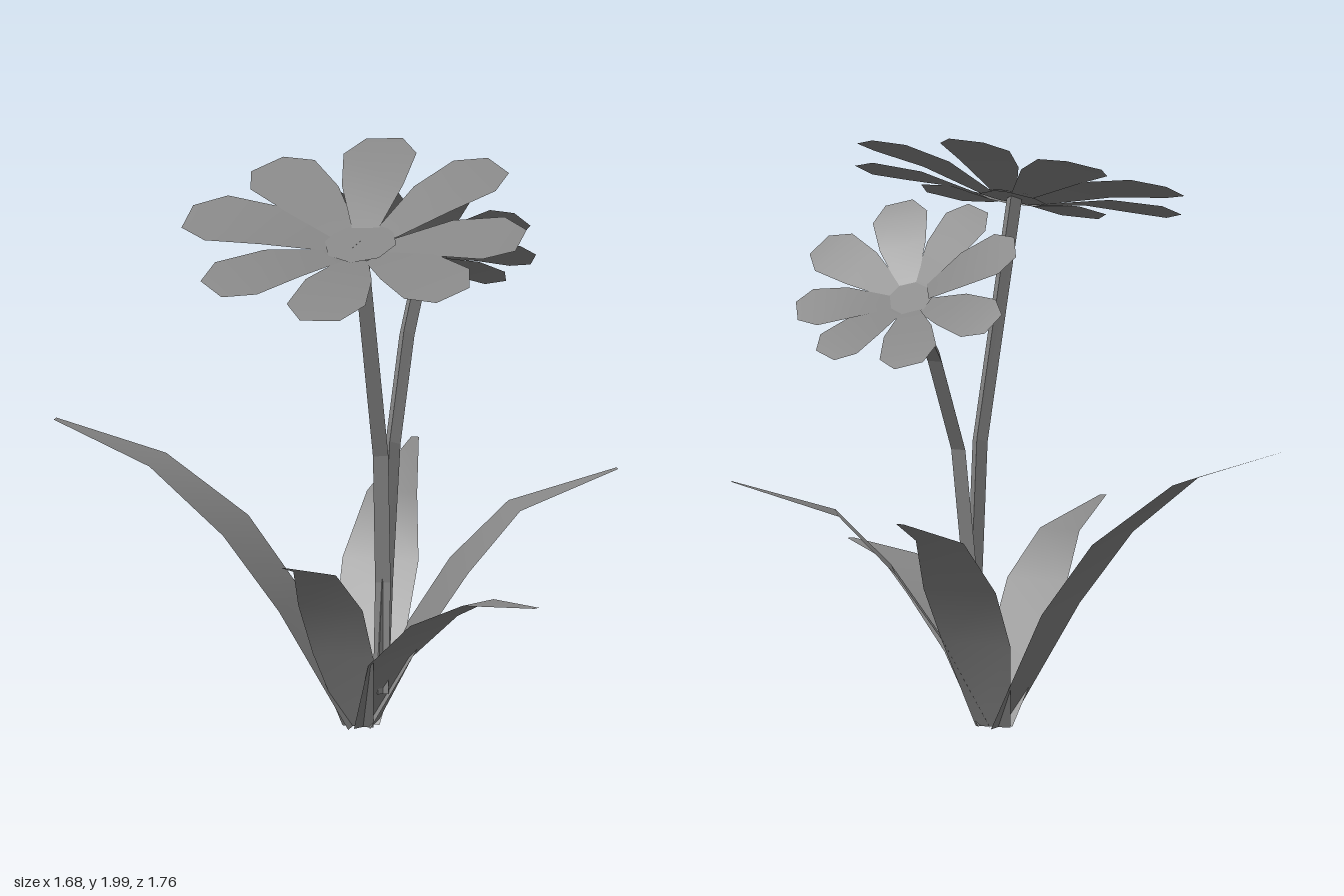
import * as THREE from 'three';

const mat = new THREE.MeshStandardMaterial({ color: 0x868686, side: THREE.DoubleSide });
const V = (x, y, z) => new THREE.Vector3(x, y, z);

function addMesh(parent, name, geometry) {
  const mesh = new THREE.Mesh(geometry, mat);
  mesh.name = name;
  parent.add(mesh);
}

function indexedGeometry(pos, idx) {
  const g = new THREE.BufferGeometry();
  g.setAttribute('position', new THREE.Float32BufferAttribute(pos, 3));
  g.setIndex(idx);
  return g;
}

// Thin ribbon through cross-sections: centre points, half widths, sideways direction
function ribbon(centres, halfWidths, side) {
  const pos = [], idx = [];
  centres.forEach((c, i) => {
    for (const s of [-1, 1]) pos.push(...c.clone().addScaledVector(side, s * halfWidths[i]));
    if (i > 0) {
      const a = 2 * i - 2;
      idx.push(a, a + 2, a + 1, a + 1, a + 2, a + 3);
    }
  });
  const g = indexedGeometry(pos, idx);
  g.computeVertexNormals();
  return g;
}

// Arching leaf: heading of its tip, profile of [distance, height], largest half width
function leaf(dx, dz, profile, half) {
  const out = V(dx, 0, dz).normalize();
  const side = V(-out.z, 0, out.x);
  const centres = profile.map(([r, y]) => V(-0.015, y, 0.04).addScaledVector(out, r));
  return ribbon(centres, [0.48, 0.94, 1, 0.66, 0.1].map(w => w * half), side);
}

// Three-sided stem bending through its points; turn rotates the section
function stem(points, radius, turn) {
  const pos = [], idx = [], n = 3;
  points.forEach((p, i) => {
    const dir = points[Math.min(i + 1, points.length - 1)].clone()
      .sub(points[Math.max(i - 1, 0)]).normalize();
    const q = new THREE.Quaternion().setFromUnitVectors(V(0, 1, 0), dir);
    for (let k = 0; k < n; k++) {
      const a = turn + k / n * Math.PI * 2;
      pos.push(...V(Math.cos(a), 0, Math.sin(a)).multiplyScalar(radius).applyQuaternion(q).add(p));
      if (i > 0) {
        const b = (i - 1) * n, m = (k + 1) % n;
        idx.push(b + k, b + n + k, b + m, b + m, b + n + k, b + n + m);
      }
    }
  });
  const g = indexedGeometry(pos, idx).toNonIndexed();
  g.computeVertexNormals();
  return g;
}

// Flower head: a flat disc and one petal reaching to each tip
function flowerHead(name, centre, normal, discRadius, petalWidth, tips) {
  const head = new THREE.Group();
  head.name = name;
  normal.normalize();

  const disc = new THREE.CircleGeometry(discRadius, 8);
  disc.applyQuaternion(new THREE.Quaternion().setFromUnitVectors(V(0, 0, 1), normal));
  disc.translate(centre.x, centre.y, centre.z);
  addMesh(head, 'flowerCentre', disc);

  for (const [x, y, z] of tips) {
    const reach = V(x, y, z).sub(centre);
    const len = reach.length();
    const side = reach.clone().cross(normal).normalize();
    const centres = [0.17, 0.52, 0.83, 1].map((t, i) => centre.clone()
      .addScaledVector(reach, t)
      .addScaledVector(normal, [-0.03, 0.025, 0.02, 0][i] * len));
    const half = [0.36, 0.84, 1, 0.5].map(w => w * petalWidth * len);
    addMesh(head, 'petal', ribbon(centres, half, side));
  }
  return head;
}

export function createModel() {
  const plant = new THREE.Group();
  plant.name = 'floweringPlant';

  // Leaves
  const leaves = [
    ['backLeaf', -0.535, -0.91, [[0.02, 0], [0.24, 0.41], [0.43, 0.66], [0.7, 0.87], [1.055, 0.99]], 0.165],
    ['leftFrontLeaf', 0.755, 0.46, [[0.02, 0], [0.18, 0.3], [0.34, 0.53], [0.53, 0.725], [0.884, 0.835]], 0.13],
    ['frontLeaf', 0, 0.84, [[0.025, 0], [0.145, 0.243], [0.35, 0.413], [0.56, 0.51], [0.84, 0.535]], 0.112],
    ['rightLeaf', -0.655, 0.3, [[0.02, 0], [0.16, 0.27], [0.28, 0.46], [0.43, 0.61], [0.72, 0.69]], 0.115],
    ['leftBackLeaf', 0.725, -0.47, [[0.02, 0], [0.17, 0.3], [0.32, 0.5], [0.5, 0.69], [0.86, 0.8]], 0.13],
  ];
  for (const [name, dx, dz, profile, half] of leaves) addMesh(plant, name, leaf(dx, dz, profile, half));

  // Stems
  addMesh(plant, 'tallStem', stem(
    [V(0.005, 0.12, 0.12), V(0.02, 0.5, 0.115), V(-0.03, 0.95, 0.155), V(-0.28, 1.73, 0.31)], 0.03, 1.4));
  addMesh(plant, 'shortStem', stem(
    [V(0, 0.12, 0.12), V(0.03, 0.5, 0.11), V(0.115, 0.95, 0.06), V(0.29, 1.28, -0.05), V(0.48, 1.51, -0.16)],
    0.03, 0.52));

  // Flower heads
  plant.add(flowerHead('tallFlower', V(-0.27, 1.735, 0.3), V(-0.33, 1, 0.15), 0.125, 0.235, [
    [-0.195, 1.91, -0.22], [0.11, 1.99, 0.03], [0.23, 1.945, 0.45], [-0.02, 1.785, 0.81],
    [-0.38, 1.66, 0.85], [-0.75, 1.59, 0.59], [-0.825, 1.64, 0.15], [-0.57, 1.79, -0.22],
  ]));
  plant.add(flowerHead('shortFlower', V(0.485, 1.515, -0.165), V(0.7, 1, -0.36), 0.09, 0.24, [
    [0.35, 1.795, 0.08], [0.21, 1.795, -0.18], [0.25, 1.7, -0.45], [0.41, 1.465, -0.55],
    [0.7, 1.34, -0.47], [0.83, 1.35, -0.17], [0.79, 1.47, 0.05], [0.6, 1.66, 0.19],
  ]));

  return plant;
}
